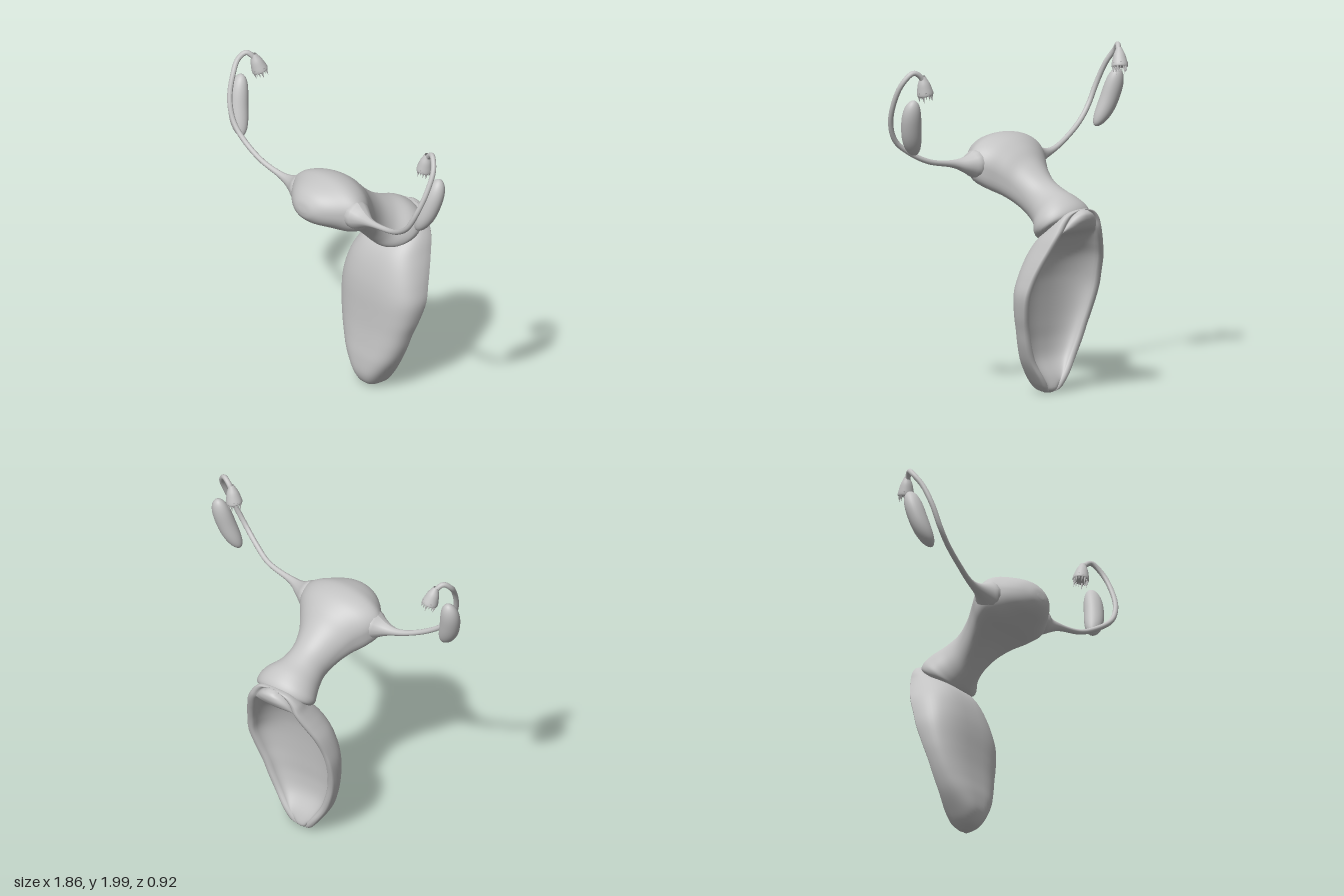
import * as THREE from 'three';

const V = (x, y, z) => new THREE.Vector3(x, y, z);
const power = (v, e) => Math.sign(v) * Math.pow(Math.abs(v), e);

// Smoothly interpolates a table of section rows; t runs 0..1
function rowAt(rows, t) {
  const f = t * (rows.length - 1);
  const i = Math.min(Math.floor(f), rows.length - 2), u = f - i;
  const at = k => rows[Math.max(0, Math.min(rows.length - 1, k))];
  const [a, b, c, d] = [at(i - 1), at(i), at(i + 1), at(i + 2)];
  return b.map((_, k) => b[k] + 0.5 * u * (c[k] - a[k]
    + u * (2 * a[k] - 5 * b[k] + 4 * c[k] - d[k] + u * (3 * (b[k] - c[k]) + d[k] - a[k]))));
}

// Skins closed cross-sections (arrays of points) and closes both ends
function loft(sections) {
  const n = sections[0].length, m = sections.length;
  const points = sections.flat(), index = [];
  for (let i = 0; i < m - 1; i++) for (let j = 0; j < n; j++) {
    const a = i * n + j, b = i * n + (j + 1) % n;
    index.push(a, b, a + n, b, b + n, a + n);
  }
  [0, m - 1].forEach((row, end) => {
    const centre = sections[row].reduce((s, p) => s.add(p), V(0, 0, 0)).divideScalar(n);
    points.push(centre);
    for (let j = 0; j < n; j++) {
      const a = row * n + j, b = row * n + (j + 1) % n;
      end ? index.push(a, b, points.length - 1) : index.push(b, a, points.length - 1);
    }
  });
  // Turn the faces outward whichever way the sections run
  let volume = 0;
  for (let i = 0; i < index.length; i += 3)
    volume += points[index[i]].dot(V(0, 0, 0).crossVectors(points[index[i + 1]], points[index[i + 2]]));
  if (volume < 0) index.reverse();
  const g = new THREE.BufferGeometry().setFromPoints(points);
  g.setIndex(index);
  g.computeVertexNormals();
  return g;
}

// Pear-shaped body: upper z, y, lower z, y, half width, x offset, roundness of the underside
function bodyGeometry() {
  const rows = [
    [0.458, 1.385, 0.46, 1.36, 0.025, 0, 1], [0.445, 1.43, 0.45, 1.32, 0.08, 0, 1],
    [0.40, 1.48, 0.41, 1.28, 0.15, 0, 0.9], [0.32, 1.515, 0.345, 1.25, 0.225, 0, 0.8],
    [0.24, 1.53, 0.27, 1.22, 0.285, 0, 0.65], [0.15, 1.51, 0.19, 1.19, 0.262, 0, 0.6],
    [0.07, 1.455, 0.11, 1.15, 0.2, 0, 0.65], [0, 1.38, 0.03, 1.09, 0.15, 0, 0.8],
    [-0.1, 1.293, -0.04, 1.025, 0.125, 0.005, 0.95], [-0.2, 1.24, -0.09, 0.972, 0.14, 0.01, 1],
    [-0.3, 1.205, -0.125, 0.938, 0.18, 0.025, 1], [-0.37, 1.155, -0.15, 0.93, 0.195, 0.025, 1],
    [-0.385, 1.1, -0.2, 0.95, 0.165, 0.025, 1], [-0.31, 1.05, -0.27, 1.02, 0.04, 0.02, 1],
  ];
  return loft(Array.from({ length: 66 }, (_, i) => {
    const [uz, uy, lz, ly, w, cx, e] = rowAt(rows, i / 65);
    return Array.from({ length: 48 }, (_, j) => {
      const a = j / 48 * Math.PI * 2, k = Math.sin(a) < 0 ? e : 1;
      const s = (power(Math.sin(a), k) + 1) / 2;
      return V(cx + w * power(Math.cos(a), k), ly + (uy - ly) * s, lz + (uz - lz) * s);
    });
  }));
}

// Hollow shell open to the back, with a closed arch on top:
// y, x offset, half width, front z, rim z, inner floor z
function shellGeometry() {
  const rows = [
    [0.004, 0, 0.025, -0.09, -0.13, -0.135], [0.03, 0, 0.075, -0.035, -0.15, -0.165],
    [0.1, 0, 0.13, -0.002, -0.16, -0.145], [0.2, 0, 0.195, -0.002, -0.155, -0.09],
    [0.3, 0, 0.24, -0.016, -0.165, -0.075], [0.4, 0, 0.272, -0.028, -0.18, -0.077],
    [0.5, 0.005, 0.3, -0.035, -0.205, -0.082], [0.62, 0.01, 0.318, -0.042, -0.24, -0.092],
    [0.72, 0.007, 0.305, -0.056, -0.27, -0.107], [0.82, 0.005, 0.278, -0.083, -0.31, -0.14],
    [0.9, 0.01, 0.243, -0.12, -0.345, -0.2], [0.96, 0.015, 0.215, -0.17, -0.37, -0.27],
    [1.01, 0.015, 0.19, -0.23, -0.385, -0.4], [1.06, 0.01, 0.165, -0.285, -0.39, -0.445],
    [1.1, 0.01, 0.13, -0.335, -0.395, -0.455], [1.122, 0.01, 0.09, -0.36, -0.4, -0.445],
    [1.134, 0.01, 0.035, -0.39, -0.405, -0.42],
  ];
  const N = 28;
  return loft(Array.from({ length: 81 }, (_, i) => {
    const [y, cx, w, f, b, d] = rowAt(rows, i / 80);
    const inner = Math.max(w - 0.05, w * 0.5), lip = Math.min(0.013, w * 0.15);
    const arc = (hw, z, dir, e) => Array.from({ length: N + 1 }, (_, j) => {
      const a = dir * (j / N - 0.5) * Math.PI;
      return V(cx + hw * power(Math.sin(a), e), y, b + (z - b) * power(Math.max(0, Math.cos(a)), e));
    });
    const rim = s => [0.8, 0.5, 0.2].map(k =>
      V(cx + s * (inner + (w - inner) * k), y, b - lip * (k === 0.5 ? 1 : 0.75)));
    return [...arc(w, f, 1, 0.7), ...rim(1), ...arc(inner, d, -1, 0.85), ...rim(-1).reverse()];
  }));
}

// Slender tube that flares where it leaves the body
function hornGeometry(path) {
  const steps = 110, sides = 14;
  const curve = new THREE.CatmullRomCurve3(path);
  const g = new THREE.TubeGeometry(curve, steps, 1, sides);
  const p = g.attributes.position, v = V(0, 0, 0);
  for (let i = 0; i <= steps; i++) {
    const c = curve.getPointAt(i / steps);
    const r = Math.min(0.085, 0.016 + 0.135 * Math.exp(-Math.pow(i / steps / 0.128, 2)));
    for (let j = 0; j <= sides; j++) {
      const k = i * (sides + 1) + j;
      v.fromBufferAttribute(p, k).sub(c).multiplyScalar(r).add(c);
      p.setXYZ(k, v.x, v.y, v.z);
    }
  }
  g.computeVertexNormals();
  return g;
}

// Blunt bean between two end points, bowed sideways
function beanGeometry(low, high, bow) {
  return loft(Array.from({ length: 31 }, (_, i) => {
    const t = 0.9995 * Math.sin((i / 30 - 0.5) * Math.PI);
    const r = Math.sqrt(1 - Math.pow(Math.abs(t), 2.8));
    const c = low.clone().lerp(high, (t + 1) / 2);
    return Array.from({ length: 28 }, (_, j) => {
      const a = j / 28 * Math.PI * 2;
      return V(c.x + bow * (1 - t * t) + 0.063 * r * Math.cos(a), c.y, c.z + 0.058 * r * Math.sin(a));
    });
  }));
}

export function createModel() {
  const model = new THREE.Group();
  const grey = new THREE.MeshStandardMaterial({ color: 0xc4c4c4, side: THREE.DoubleSide });
  grey.name = 'soft grey';
  const add = (name, geometry, parent = model) => {
    const mesh = new THREE.Mesh(geometry, grey);
    mesh.name = name;
    parent.add(mesh);
    return mesh;
  };

  add('body', bodyGeometry());
  add('lowerShell', shellGeometry());

  // Bell with a ragged fringe, hanging along -y from its top
  const bell = new THREE.LatheGeometry(new THREE.SplineCurve([
    [0.001, -0.09], [0.03, -0.093], [0.046, -0.098], [0.049, -0.085], [0.043, -0.055], [0.035, -0.025], [0.024, 0], [0.015, 0.02],
  ].map(p => new THREE.Vector2(...p))).getPoints(28), 24);
  const finger = new THREE.ConeGeometry(0.009, 0.045, 6).rotateX(Math.PI);

  const sides = [
    { name: 'left', path: [[0.12, 1.365, 0.24], [0.3, 1.365, 0.25], [0.4, 1.378, 0.27], [0.6, 1.412, 0.29], [0.72, 1.47, 0.325],
      [0.82, 1.55, 0.35], [0.88, 1.66, 0.335], [0.91, 1.8, 0.28], [0.9, 1.92, 0.22], [0.845, 1.982, 0.18], [0.795, 1.95, 0.165], [0.78, 1.91, 0.165]],
      top: V(0.78, 1.94, 0.165), tip: V(0.757, 1.83, 0.165), ovary: [V(0.785, 1.475, 0.235), V(0.875, 1.825, 0.155)], bow: 0.02 },
    { name: 'right', path: [[-0.12, 1.36, 0.24], [-0.3, 1.355, 0.25], [-0.42, 1.37, 0.255], [-0.56, 1.42, 0.28], [-0.7, 1.51, 0.295],
      [-0.78, 1.6, 0.3], [-0.83, 1.72, 0.285], [-0.86, 1.85, 0.235], [-0.878, 1.935, 0.175], [-0.855, 1.972, 0.13], [-0.828, 1.94, 0.098], [-0.82, 1.91, 0.085]],
      top: V(-0.825, 1.94, 0.09), tip: V(-0.8, 1.83, 0.06), ovary: [V(-0.785, 1.475, 0.235), V(-0.875, 1.825, 0.155)], bow: -0.025 },
  ];
  for (const s of sides) {
    add(s.name + 'Tube', hornGeometry(s.path.map(p => V(...p))));

    const fringe = new THREE.Group();
    fringe.name = s.name + 'FringedEnd';
    fringe.position.copy(s.top);
    fringe.quaternion.setFromUnitVectors(V(0, -1, 0), s.tip.clone().sub(s.top).normalize());
    add('bell', bell, fringe);
    for (let i = 0; i < 14; i++) {
      const a = i / 14 * Math.PI * 2;
      add('finger', finger, fringe).position.set(0.041 * Math.cos(a), -0.105 - 0.009 * (i * 5 % 3 - 1), 0.041 * Math.sin(a));
    }
    model.add(fringe);

    add(s.name + 'Ovary', beanGeometry(...s.ovary, s.bow));
  }
  return model;
}
